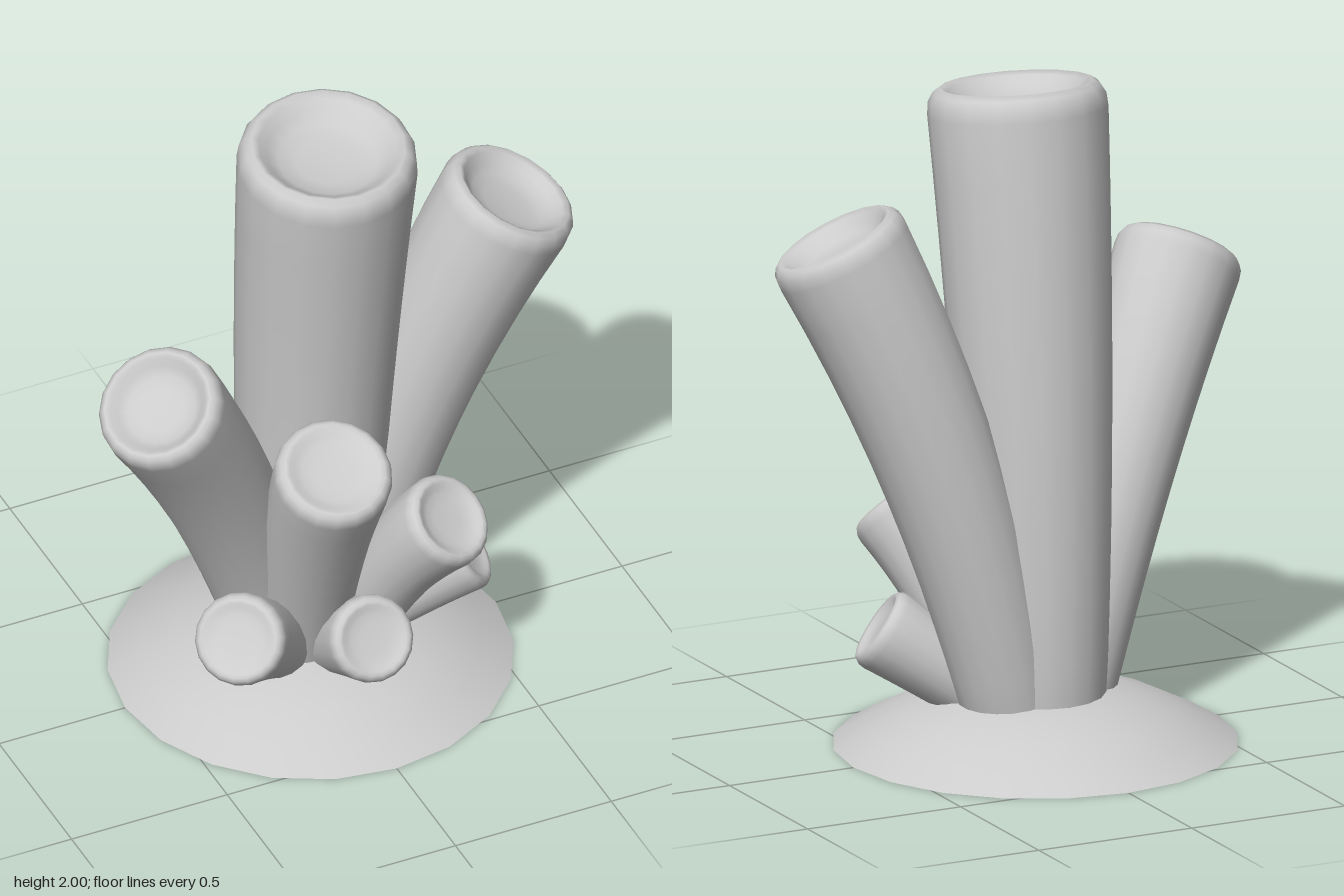
import * as THREE from 'three';
import { mergeVertices } from 'three/addons/utils/BufferGeometryUtils.js';

const material = new THREE.MeshStandardMaterial({ color: 0xcccccc, side: THREE.DoubleSide });
const UP = new THREE.Vector3(0, 1, 0);

// Weld the lathe seam so the shading stays smooth all round
function smooth(geometry) {
  geometry.deleteAttribute('uv');
  geometry.deleteAttribute('normal');
  const welded = mergeVertices(geometry, 1e-4);
  welded.computeVertexNormals();
  return welded;
}

// A flaring tube with a rounded lip and a shallow hollow, bent along a curve
function tubeGeometry({ base, tip, axis, r0, r1, dip }) {
  const start = new THREE.Vector3(...base);
  const end = new THREE.Vector3(...tip);
  const length = start.distanceTo(end);
  const dir = new THREE.Vector3(...axis).normalize();
  const control = end.clone().addScaledVector(dir, -length * 0.5);
  const curve = new THREE.QuadraticBezierCurve3(start, control, end);

  const profile = [new THREE.Vector2(0, 0), new THREE.Vector2(r0 * 0.92, 0)];
  const lip = r1 * 0.3;
  const wallTop = length - lip;
  for (let i = 0; i <= 10; i++) {
    const t = i / 10;
    profile.push(new THREE.Vector2(r0 + (r1 - r0) * t ** 0.85, 0.015 + t * (wallTop - 0.015)));
  }
  // Lip and hollow: [fraction of radius, height relative to the rim]
  const cap = [[0.985, -lip * 0.5], [0.93, -lip * 0.18], [0.85, 0], [0.77, -dip * 0.15],
    [0.68, -dip * 0.5], [0.55, -dip * 0.82], [0.35, -dip * 0.96], [0, -dip]];
  cap.forEach(([f, h]) => profile.push(new THREE.Vector2(r1 * f, length + h)));

  const geometry = new THREE.LatheGeometry(profile, 18);
  const pos = geometry.attributes.position;
  const v = new THREE.Vector3();
  const q = new THREE.Quaternion();
  for (let i = 0; i < pos.count; i++) {
    v.fromBufferAttribute(pos, i);
    // The cap stays rigid at the end of the curve; the wall follows it
    const t = Math.min(v.y / wallTop, 1) * (wallTop / length);
    const over = Math.max(v.y - wallTop, 0);
    const centre = curve.getPoint(t);
    const tangent = curve.getTangent(t);
    q.setFromUnitVectors(UP, tangent);
    v.y = 0;
    v.applyQuaternion(q).add(centre).addScaledVector(tangent, over);
    pos.setXYZ(i, v.x, v.y, v.z);
  }
  return smooth(geometry);
}

const TUBES = [
  { name: 'tallTube', base: [0, 0.08, -0.03], tip: [0, 1.965, 0.125], axis: [0, 0.99, 0.14], r0: 0.19, r1: 0.265, dip: 0.07 },
  { name: 'leftTube', base: [0.1, 0.09, -0.05], tip: [0.61, 1.585, 0.1], axis: [0.42, 0.89, 0.2], r0: 0.14, r1: 0.21, dip: 0.06 },
  { name: 'rightTube', base: [-0.1, 0.09, 0], tip: [-0.635, 1.345, 0.305], axis: [-0.5, 0.8, 0.33], r0: 0.13, r1: 0.19, dip: 0.055 },
  { name: 'frontTube', base: [-0.06, 0.09, 0.07], tip: [-0.12, 1.025, 0.43], axis: [-0.04, 0.88, 0.46], r0: 0.12, r1: 0.175, dip: 0.025 },
  { name: 'smallRightTube', base: [-0.11, 0.1, 0.06], tip: [-0.42, 0.475, 0.4], axis: [-0.58, 0.55, 0.6], r0: 0.09, r1: 0.137, dip: 0.015 },
  { name: 'smallLeftTube', base: [0.11, 0.1, 0.07], tip: [0.285, 0.67, 0.365], axis: [0.36, 0.7, 0.6], r0: 0.095, r1: 0.142, dip: 0.025 },
  { name: 'lowFrontTube', base: [0, 0.1, 0.08], tip: [0.012, 0.35, 0.42], axis: [0.02, 0.52, 0.85], r0: 0.085, r1: 0.13, dip: 0.015 },
  { name: 'lowLeftTube', base: [0.1, 0.1, 0.03], tip: [0.44, 0.37, 0.16], axis: [0.75, 0.55, 0.36], r0: 0.085, r1: 0.125, dip: 0.02 },
];

export function createModel() {
  const group = new THREE.Group();
  group.name = 'tubeCluster';

  // Shallow open mound under the tubes
  const mound = [[0.595, 0], [0.5, 0.057], [0.4, 0.107], [0.28, 0.15], [0.15, 0.172], [0, 0.18]]
    .map(([r, y]) => new THREE.Vector2(r, y));
  const base = new THREE.Mesh(smooth(new THREE.LatheGeometry(mound, 20)), material);
  base.name = 'base';
  group.add(base);

  for (const spec of TUBES) {
    const tube = new THREE.Mesh(tubeGeometry(spec), material);
    tube.name = spec.name;
    group.add(tube);
  }
  return group;
}
